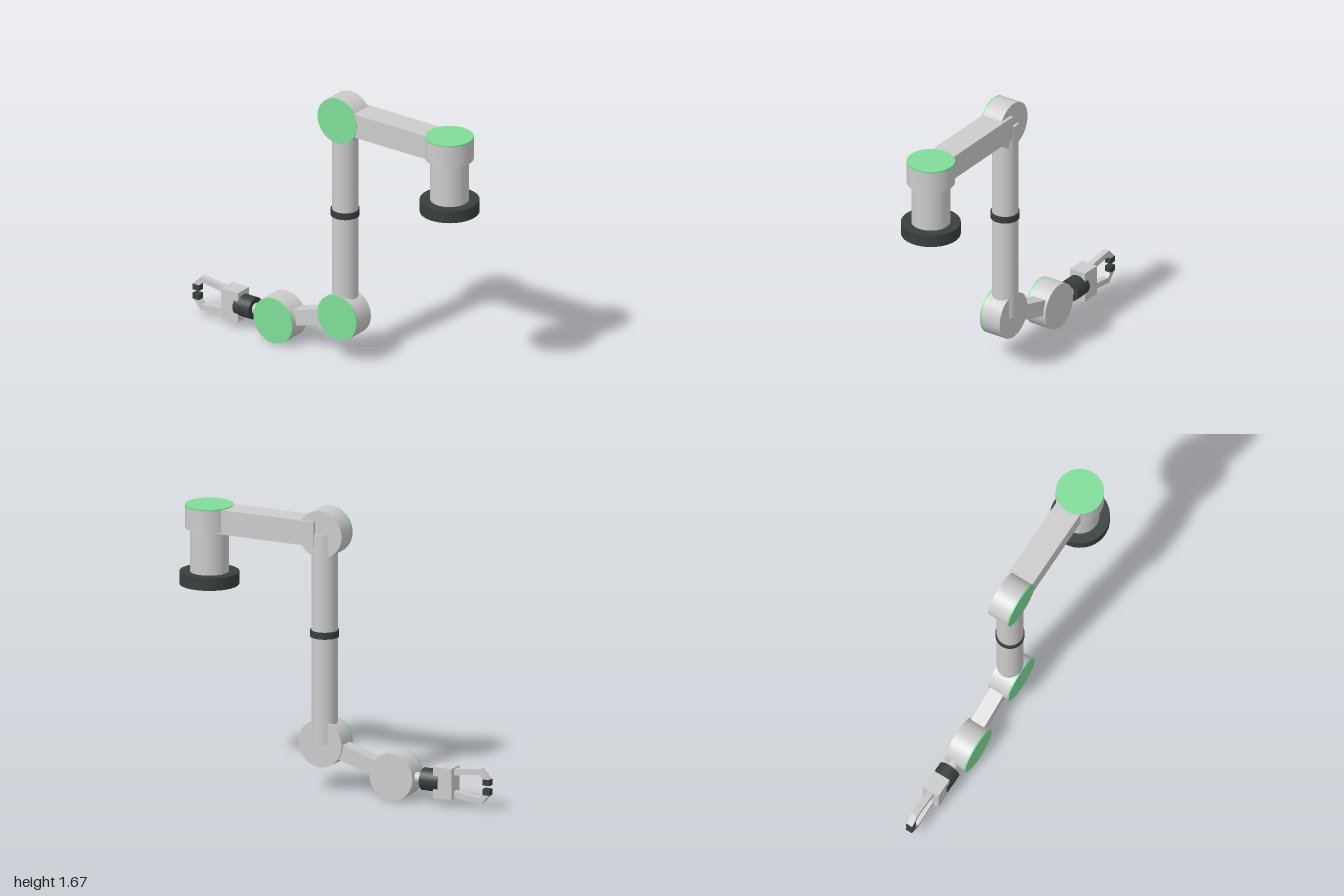
import * as THREE from 'three';

const grey = new THREE.MeshStandardMaterial({ color: 0xcccccc });
const green = new THREE.MeshStandardMaterial({ color: 0x80dc98 });
const dark = new THREE.MeshStandardMaterial({ color: 0x383f3c });

export function createModel() {
  const model = new THREE.Group();

  function add(name, geometry, material, x, y, z, parent = model) {
    const mesh = new THREE.Mesh(geometry, material);
    mesh.name = name;
    mesh.position.set(x, y, z);
    parent.add(mesh);
    return mesh;
  }
  const box = (w, h, d) => new THREE.BoxGeometry(w, h, d);
  const cylinder = (r, h) => new THREE.CylinderGeometry(r, r, h, 48);

  // Upright cylinder between two heights
  const upright = (name, r, y0, y1, x, material) =>
    add(name, cylinder(r, y1 - y0), material, x, (y0 + y1) / 2, 0);

  // Base: mounting flange, column and capped shoulder
  const baseX = 0.825;
  upright('baseFlange', 0.173, 1.145, 1.22, baseX, dark);
  upright('baseColumn', 0.113, 1.22, 1.48, baseX, grey);
  upright('shoulderHousing', 0.14, 1.48, 1.61, baseX, grey);
  upright('shoulderCap', 0.14, 1.61, 1.62, baseX, green);

  // Upper arm beam
  add('upperArm', box(0.63, 0.146, 0.156), grey, 0.425, 1.542, -0.001);

  // Forearm tube with a collar
  const elbowX = 0.078;
  upright('forearm', 0.077, 0.29, 1.54, elbowX, grey);
  upright('forearmCollar', 0.084, 0.92, 0.96, elbowX, dark);

  // Drum joints facing the front, each with a coloured cap
  const wrist = new THREE.Vector2(-0.381, 0.147);
  const lower = new THREE.Vector2(elbowX, 0.29);
  const joints = [['elbowJoint', elbowX, 1.54], ['lowerJoint', lower.x, lower.y], ['wristJoint', wrist.x, wrist.y]];
  for (const [name, x, y] of joints) {
    const joint = new THREE.Group();
    joint.name = name;
    joint.position.set(x, y, 0);
    add('drum', cylinder(0.14, 0.13), grey, 0, 0, 0.005, joint).rotation.x = Math.PI / 2;
    add('drumCap', cylinder(0.14, 0.01), green, 0, 0, 0.075, joint).rotation.x = Math.PI / 2;
    model.add(joint);
  }

  // Sloping link between the lower two joints
  const span = lower.clone().sub(wrist);
  const link = add('wristLink', box(span.length(), 0.094, 0.09), grey,
    (lower.x + wrist.x) / 2, (lower.y + wrist.y) / 2, 0);
  link.rotation.z = span.angle();

  // Wrist shaft, collar and gripper body
  const axisY = wrist.y;
  add('wristShaft', cylinder(0.034, 0.2), grey, -0.48, axisY, 0).rotation.z = Math.PI / 2;
  add('gripperCollar', cylinder(0.066, 0.115), dark, -0.6225, axisY, 0).rotation.z = Math.PI / 2;
  add('gripperBody', box(0.12, 0.185, 0.106), grey, -0.71, axisY, 0);

  // Mirrored bent fingers with dark pads
  for (const side of [1, -1]) {
    const outline = [[-0.76, 0.047], [-0.76, 0.084], [-0.943, 0.105], [-0.998, 0.045], [-0.955, 0.045], [-0.932, 0.07]];
    const shape = new THREE.Shape(outline.map(([x, y]) => new THREE.Vector2(x, y * side)));
    const finger = new THREE.ExtrudeGeometry(shape, { depth: 0.038, bevelEnabled: false });
    add('finger', finger, grey, 0, axisY, -0.019);
    add('fingerPad', box(0.046, 0.036, 0.04), dark, -0.977, axisY + side * 0.029, 0);
  }

  return model;
}
